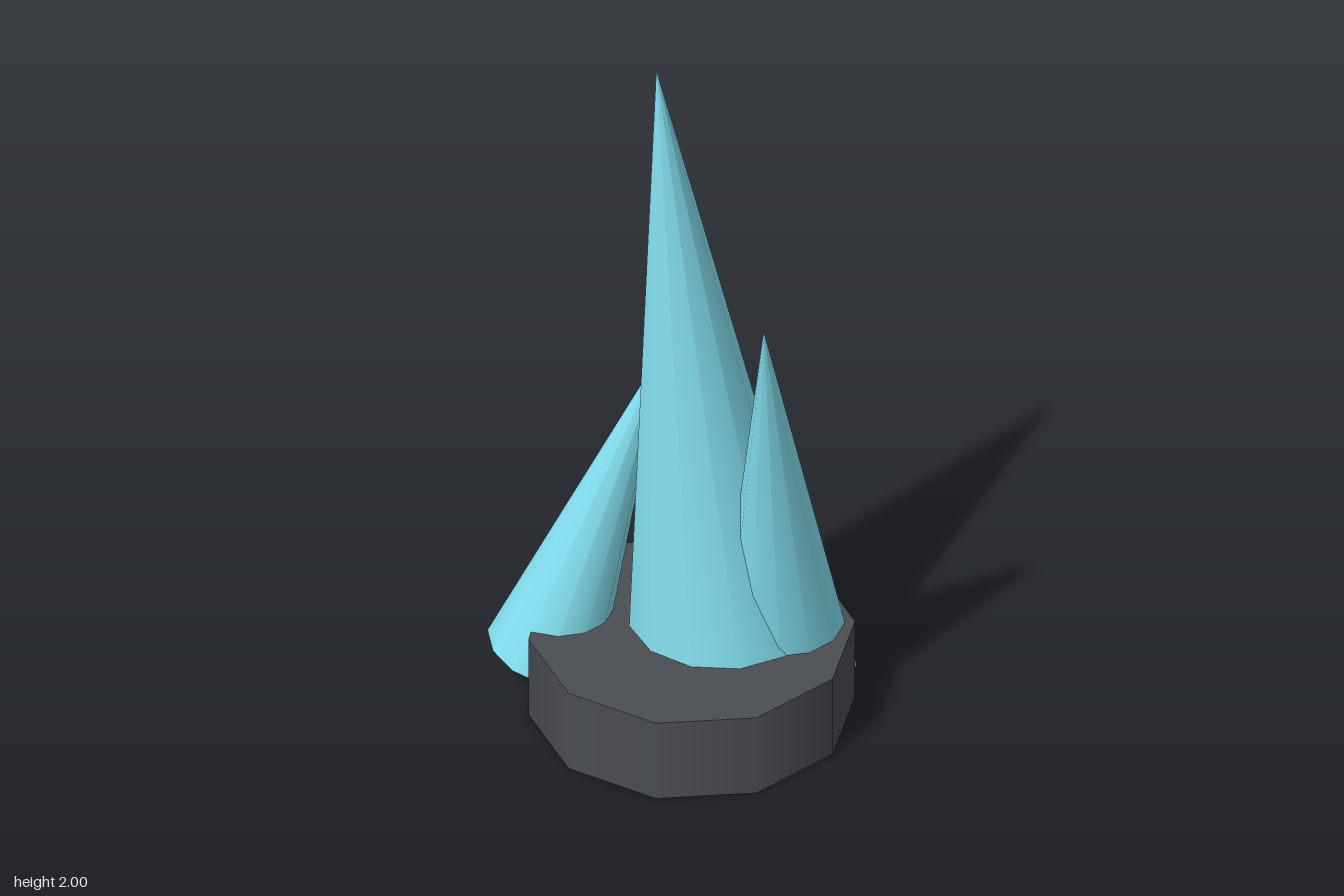
import * as THREE from 'three';

const UP = new THREE.Vector3(0, 1, 0);

// Twelve-sided spike running from the centre of its foot to its tip
function spike(name, foot, tip, radius, twist, material) {
  const a = new THREE.Vector3(...foot);
  const axis = new THREE.Vector3(...tip).sub(a);
  const height = axis.length();
  const geometry = new THREE.ConeGeometry(radius, height, 12);
  geometry.translate(0, height / 2, 0);
  geometry.rotateY(twist);
  const mesh = new THREE.Mesh(geometry, material);
  mesh.quaternion.setFromUnitVectors(UP, axis.normalize());
  mesh.position.copy(a);
  mesh.name = name;
  return mesh;
}

export function createModel() {
  const group = new THREE.Group();
  group.name = 'crystalCluster';
  const stone = new THREE.MeshStandardMaterial({ color: 0x4a4d52 });
  const crystal = new THREE.MeshStandardMaterial({ color: 0x86e4f5 });

  // Ten-sided stone base
  const base = new THREE.Mesh(new THREE.CylinderGeometry(0.408, 0.408, 0.23, 10), stone);
  base.position.set(0.04, 0.115, 0);
  base.name = 'base';
  group.add(base);

  // Tall central spike and two smaller leaning ones
  const half = Math.PI / 12;
  group.add(
    spike('mainCrystal', [0.04, 0.08, -0.118], [0.04, 2, 0.117], 0.257, 0, crystal),
    spike('leftCrystal', [0.123, 0.06, -0.242], [0.41, 1.385, 0.087], 0.174, half, crystal),
    spike('rightCrystal', [-0.285, 0.1, 0.2], [-0.03, 1.08, 0.02], 0.15, half, crystal),
  );
  return group;
}
